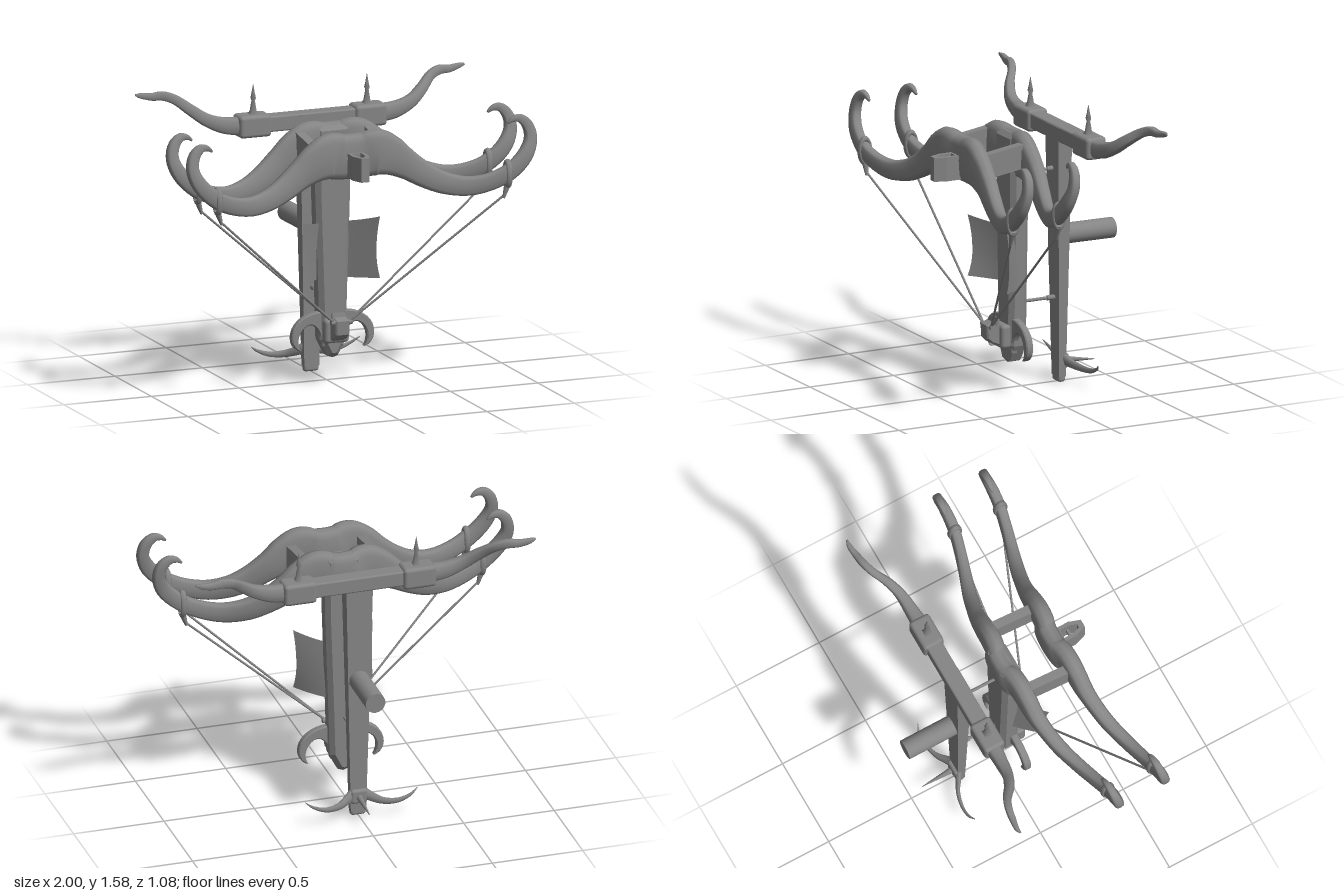
import * as THREE from 'three';
import { RoundedBoxGeometry } from 'three/addons/geometries/RoundedBoxGeometry.js';

const V = (x, y, z) => new THREE.Vector3(x, y, z);
const DARK = 0x858585;

export function createModel() {
  const root = new THREE.Group();
  const mat = new THREE.MeshStandardMaterial({ color: DARK });
  const thin = new THREE.MeshStandardMaterial({ color: DARK, side: THREE.DoubleSide });

  const add = (name, geo, x = 0, y = 0, z = 0, m = mat) => {
    const mesh = new THREE.Mesh(geo, m);
    mesh.name = name;
    mesh.position.set(x, y, z);
    root.add(mesh);
    return mesh;
  };

  // Sweep a rounded section along stations [x, y, z, halfHeight, halfDepth]
  const sweep = (stations, steps, sides = 12, power = 0.65) => {
    const path = new THREE.CatmullRomCurve3(stations.map(s => V(s[0], s[1], s[2])));
    const size = new THREE.CatmullRomCurve3(stations.map(s => V(s[3], s[4], 0)), false, 'catmullrom');
    const pos = [], idx = [];
    const bend = a => Math.sign(a) * Math.abs(a) ** power;
    for (let i = 0; i <= steps; i++) {
      const t = i / steps, c = path.getPoint(t), s = size.getPoint(t), d = path.getTangent(t);
      const l = Math.hypot(d.x, d.y) || 1;
      for (let j = 0; j < sides; j++) {
        const a = (j / sides) * Math.PI * 2;
        const h = s.x * bend(Math.cos(a)), w = s.y * bend(Math.sin(a));
        pos.push(c.x - (d.y / l) * h, c.y + (d.x / l) * h, c.z + w);
        if (i < steps) {
          const p = i * sides + j, q = i * sides + (j + 1) % sides;
          idx.push(p, q, p + sides, q, q + sides, p + sides);
        }
      }
    }
    const last = steps * sides;
    for (let j = 1; j < sides - 1; j++) idx.push(0, j + 1, j, last, last + j, last + j + 1);
    const g = new THREE.BufferGeometry();
    g.setAttribute('position', new THREE.Float32BufferAttribute(pos, 3));
    g.setIndex(idx);
    g.computeVertexNormals();
    return g;
  };
  const flip = pts => pts.map(([x, ...r]) => [-x, ...r]);

  // Straight round bar between two points
  const bar = (name, a, b, r, r2 = r, sides = 8) => {
    const dir = b.clone().sub(a);
    const mesh = add(name, new THREE.CylinderGeometry(r2, r, dir.length(), sides));
    mesh.position.copy(a).addScaledVector(dir, 0.5);
    mesh.quaternion.setFromUnitVectors(V(0, 1, 0), dir.normalize());
  };

  const outline = pts => new THREE.Shape(pts.map(p => new THREE.Vector2(...p)));
  const slab = (shape, depth, bevel = 0) => new THREE.ExtrudeGeometry(shape, {
    depth: depth - 2 * bevel, bevelEnabled: bevel > 0, bevelSize: bevel, bevelThickness: bevel,
    bevelOffset: -bevel, bevelSegments: 1, curveSegments: 10,
  }).translate(0, 0, bevel - depth / 2);

  // Stock with chamfered edges and a pointed foot
  const half = [[0.1, 1.4], [0.1, 1.05], [0.082, 0.5], [0.075, 0.24], [0.03, 0.15]];
  add('stock', slab(outline([...half, [0, 0.14], ...flip(half).reverse()]), 0.108, 0.025), 0, 0, 0.056);

  // Two bows with curled tips, string loops and strings
  const limb = [
    [0.13, 1.3, 0.066, 0.127, 0.052], [0.2, 1.28, 0.072, 0.11, 0.05], [0.3, 1.222, 0.078, 0.08, 0.046],
    [0.4, 1.158, 0.1, 0.067, 0.042], [0.5, 1.112, 0.128, 0.059, 0.04], [0.62, 1.092, 0.168, 0.053, 0.035],
    [0.74, 1.113, 0.203, 0.048, 0.031], [0.84, 1.16, 0.224, 0.046, 0.03], [0.93, 1.245, 0.222, 0.042, 0.03],
    [0.965, 1.33, 0.205, 0.034, 0.028], [0.95, 1.4, 0.193, 0.03, 0.025], [0.91, 1.436, 0.186, 0.023, 0.02],
    [0.87, 1.432, 0.182, 0.014, 0.014], [0.845, 1.413, 0.18, 0.006, 0.006]];
  const centre = [[-0.06, 1.289, 0.046, 0.123, 0.055], [0.06, 1.289, 0.046, 0.123, 0.055]];
  const bow = [...flip(limb).reverse(), ...centre, ...limb];
  [['rear', 0, 1], ['front', 0.308, 0.85]].forEach(([which, dz, k]) => {
    add(which + 'Bow', sweep(bow.map(([x, y, z, h, d]) => [x, y, z * k + dz, h, d]), 116));
    const tipZ = 0.222 * k + dz;
    for (const s of [1, -1]) {
      const loop = add(which + 'StringLoop', new THREE.TorusGeometry(0.05, 0.012, 8, 20), s * 0.828, 1.15, tipZ);
      loop.rotation.set(0, Math.PI / 2, 0);
      loop.scale.set(0.66, 1.3, 1.4);
      bar(which + 'StringTail', V(s * 0.83, 1.1, tipZ), V(s * 0.805, 1.02, tipZ), 0.02, 0.008);
      bar(which + 'String', V(s * 0.815, 1.04, tipZ), V(s * 0.04, 0.355, 0.205), 0.006);
    }
  });

  // Struts joining the bows
  for (const s of [1, -1]) {
    const strut = add('bowStrut', new THREE.BoxGeometry(0.05, 0.13, 0.25), s * 0.195, 1.3, 0.215);
    strut.rotation.x = 0.15;
  }

  // Stirrup at the nose
  const stirrup = outline([[-0.045, 0.37], [0.045, 0.37], [0.045, 0.47], [0.022, 0.535], [-0.022, 0.535], [-0.045, 0.47]]);
  stirrup.holes.push(new THREE.Path([[-0.025, 0.41], [-0.025, 0.46], [-0.01, 0.505], [0.01, 0.505], [0.025, 0.46], [0.025, 0.41]]
    .map(p => new THREE.Vector2(...p))));
  add('stirrup', slab(stirrup, 0.13).rotateX(Math.PI / 2), 0, 1.25, 0);
  add('stirrupBridge', new THREE.BoxGeometry(0.06, 0.03, 0.015), 0, 1.25, 0.455);

  // Thin guard plate, bowed around the stock
  const plate = new THREE.PlaneGeometry(2, 2, 24, 8);
  const pp = plate.attributes.position;
  for (let i = 0; i < pp.count; i++) {
    const u = pp.getX(i), v = pp.getY(i), e = u * u;
    const waist = 1 - 0.05 * (1 - v * v);
    const y = 0.715 + v * (0.155 + (v > 0 ? 0.04 : -0.015) * e);
    const out = Math.abs(u) ** 1.25 * (0.85 + 0.15 * v * v);
    pp.setXYZ(i, u * 0.22 * waist, y, 0.05 + 0.157 * out - 0.02 * (1 - v) * (1 - e));
  }
  plate.computeVertexNormals();
  add('guardPlate', plate, 0, 0, 0, thin);

  // String catch
  const lock = [[0.08, 0.24], [0.14, 0.24], [0.2, 0.265], [0.225, 0.29], [0.23, 0.365], [0.19, 0.38],
    [0.175, 0.36], [0.168, 0.4], [0.152, 0.395], [0.148, 0.34], [0.08, 0.34]];
  add('catchBlock', slab(outline(lock), 0.08, 0.008).rotateY(-Math.PI / 2));
  add('catchCollar', new RoundedBoxGeometry(0.14, 0.13, 0.06, 2, 0.02), 0, 0.295, 0.125);
  bar('catchPin', V(-0.06, 0.355, 0.205), V(0.06, 0.355, 0.205), 0.014);

  // Crescent blades at the foot of the stock
  for (const s of [1, -1]) {
    const c = new THREE.Shape();
    c.moveTo(0, 0.385);
    c.bezierCurveTo(s * 0.09, 0.41, s * 0.19, 0.38, s * 0.225, 0.31);
    c.bezierCurveTo(s * 0.25, 0.25, s * 0.23, 0.2, s * 0.18, 0.185);
    c.bezierCurveTo(s * 0.21, 0.23, s * 0.2, 0.29, s * 0.15, 0.32);
    c.bezierCurveTo(s * 0.11, 0.34, s * 0.07, 0.3, s * 0.06, 0.2);
    c.lineTo(0, 0.2);
    add('crescentBlade', slab(c, 0.04, 0.006), 0, 0, 0.075);
  }

  // Stand post, tapering to the foot
  const post = new THREE.BoxGeometry(1, 1.37, 1);
  const q = post.attributes.position;
  for (let i = 0; i < q.count; i++) {
    const top = q.getY(i) > 0;
    q.setXYZ(i, q.getX(i) * (top ? 0.15 : 0.085), q.getY(i) + 0.715, q.getZ(i) * (top ? 0.085 : 0.04) - 0.221);
  }
  post.computeVertexNormals();
  add('standPost', post);
  add('standFoot', new RoundedBoxGeometry(0.085, 0.14, 0.042, 2, 0.015), 0, 0.07, -0.221);
  add('footCollar', new RoundedBoxGeometry(0.09, 0.08, 0.06, 2, 0.015), 0, 0.115, -0.232);

  // Crossbar with end blocks, spikes and horns
  add('crossbar', new RoundedBoxGeometry(0.6, 0.085, 0.09, 2, 0.01), 0, 1.365, -0.225);
  const horn = [[0.38, 1.362, -0.226, 0.05, 0.045], [0.48, 1.37, -0.23, 0.045, 0.037], [0.58, 1.405, -0.242, 0.035, 0.031],
    [0.66, 1.46, -0.278, 0.03, 0.028], [0.73, 1.512, -0.328, 0.026, 0.024], [0.79, 1.532, -0.352, 0.025, 0.021],
    [0.85, 1.53, -0.362, 0.02, 0.018], [0.91, 1.54, -0.37, 0.014, 0.013], [0.94, 1.547, -0.366, 0.005, 0.005]];
  const claw = [[0.01, 0.135, -0.225, 0.035, 0.02], [0.06, 0.11, -0.25, 0.027, 0.017], [0.12, 0.09, -0.285, 0.02, 0.012],
    [0.2, 0.09, -0.305, 0.014, 0.009], [0.27, 0.115, -0.305, 0.008, 0.006], [0.31, 0.142, -0.29, 0.002, 0.002]];
  const spike = [[0.032, 0], [0.02, 0.02], [0.01, 0.075], [0.016, 0.09], [0.01, 0.115], [0.0005, 0.165]]
    .map(p => new THREE.Vector2(...p));
  for (const s of [1, -1]) {
    const side = pts => (s > 0 ? pts : flip(pts));
    add('crossbarBlock', new RoundedBoxGeometry(0.18, 0.12, 0.12, 2, 0.02), s * 0.33, 1.362, -0.226);
    add('spike', new THREE.LatheGeometry(spike, 4, Math.PI / 4), s * 0.325, 1.418, -0.225);
    add('horn', sweep(side(horn), 40));
    add('footClaw', sweep(side(claw), 24, 8));
  }
  bar('footSpike', V(0, 0.115, -0.23), V(0, 0.092, -0.435), 0.02, 0.002);

  // Rods between stand and stock, and the wall peg
  for (const y of [1.165, 0.46]) {
    bar('standRod', V(0, y, 0.02), V(0, y, -0.2), 0.009);
    bar('rodSleeve', V(0, y, -0.15), V(0, y, -0.2), 0.014);
  }
  bar('wallPeg', V(0, 0.8, -0.22), V(0, 0.797, -0.54), 0.055, 0.055, 20);

  return root;
}
